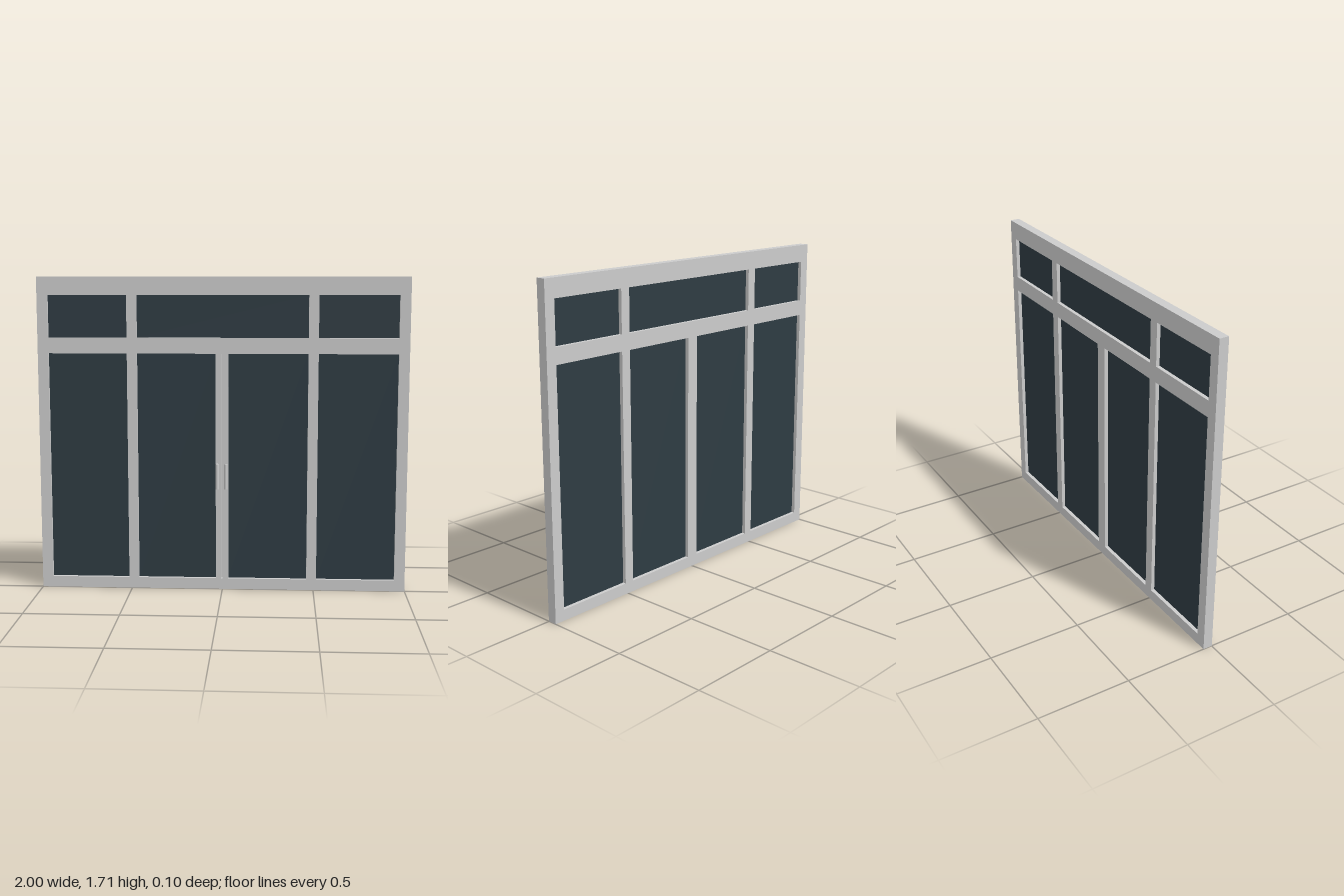
import * as THREE from 'three';

const grey = new THREE.MeshStandardMaterial({ color: 0xcccccc });
const glassMat = new THREE.MeshStandardMaterial({ color: 0x2e3b42 });

// Depth of the frame, and the extents of the openings
const BACK = -0.05, FRONT = 0.002;
const W = 0.943, TOP = 1.71, HEAD = 1.613, SILL = 0.06;
const RAIL_LOW = 1.3, RAIL_HIGH = 1.385;
const MULLION_IN = 0.462, MULLION_OUT = 0.516;
const MEET = -0.002; // where the two doors meet

export function createModel() {
  const group = new THREE.Group();

  function box(name, x0, x1, y0, y1, z0 = BACK, z1 = FRONT, material = grey) {
    const mesh = new THREE.Mesh(new THREE.BoxGeometry(x1 - x0, y1 - y0, z1 - z0), material);
    mesh.position.set((x0 + x1) / 2, (y0 + y1) / 2, (z0 + z1) / 2);
    mesh.name = name;
    group.add(mesh);
  }

  // Outer frame with one large opening
  const outline = new THREE.Shape([[-1, 0], [1, 0], [1, TOP], [-1, TOP]].map(p => new THREE.Vector2(...p)));
  outline.holes.push(new THREE.Path([[-W, SILL], [-W, HEAD], [W, HEAD], [W, SILL]].map(p => new THREE.Vector2(...p))));
  const frame = new THREE.Mesh(
    new THREE.ExtrudeGeometry(outline, { depth: FRONT - BACK, bevelEnabled: false }).translate(0, 0, BACK), grey);
  frame.name = 'outerFrame';
  group.add(frame);

  // Transom rail and the mullions above and below it
  box('transomRail', -W, W, RAIL_LOW, RAIL_HIGH);
  for (const [side, x0, x1] of [['right', -MULLION_OUT, -MULLION_IN], ['left', MULLION_IN, MULLION_OUT]]) {
    box(side + 'LowerMullion', x0, x1, SILL, RAIL_LOW);
    box(side + 'UpperMullion', x0, x1, RAIL_HIGH, HEAD);
  }

  // Meeting stiles: a groove in front, closed by a cover strip behind
  const half = 0.034, gap = 0.004;
  box('stileCover', MEET - half, MEET + half, SILL, RAIL_LOW, BACK, -0.024);
  box('rightDoorStile', MEET - half, MEET - gap, SILL, RAIL_LOW, -0.024);
  box('leftDoorStile', MEET + gap, MEET + half, SILL, RAIL_LOW, -0.024);

  // Glass panes, set in the middle of the frame depth
  const pane = (name, x0, x1, y0, y1) => box(name, x0, x1, y0, y1, -0.03, -0.018, glassMat);
  pane('rightSidePane', -W, -MULLION_OUT, SILL, RAIL_LOW);
  pane('rightDoorPane', -MULLION_IN, MEET - half, SILL, RAIL_LOW);
  pane('leftDoorPane', MEET + half, MULLION_IN, SILL, RAIL_LOW);
  pane('leftSidePane', MULLION_OUT, W, SILL, RAIL_LOW);
  pane('rightTopPane', -W, -MULLION_OUT, RAIL_HIGH, HEAD);
  pane('middleTopPane', -MULLION_IN, MULLION_IN, RAIL_HIGH, HEAD);
  pane('leftTopPane', MULLION_OUT, W, RAIL_HIGH, HEAD);

  // Pull handles: an upright bar on two short posts
  for (const [side, s] of [['right', -1], ['left', 1]]) {
    const handle = new THREE.Group();
    handle.name = side + 'Handle';
    handle.position.set(MEET + s * 0.0235, 0.638, 0);
    const bar = new THREE.Mesh(new THREE.CylinderGeometry(0.0095, 0.0095, 0.138, 20), grey);
    bar.name = 'handleBar';
    bar.position.z = 0.04;
    handle.add(bar);
    for (const y of [-0.022, 0.022]) {
      const post = new THREE.Mesh(new THREE.BoxGeometry(0.007, 0.017, 0.04), grey);
      post.name = 'handlePost';
      post.position.set(0, y, 0.02);
      handle.add(post);
    }
    group.add(handle);
  }

  return group;
}
